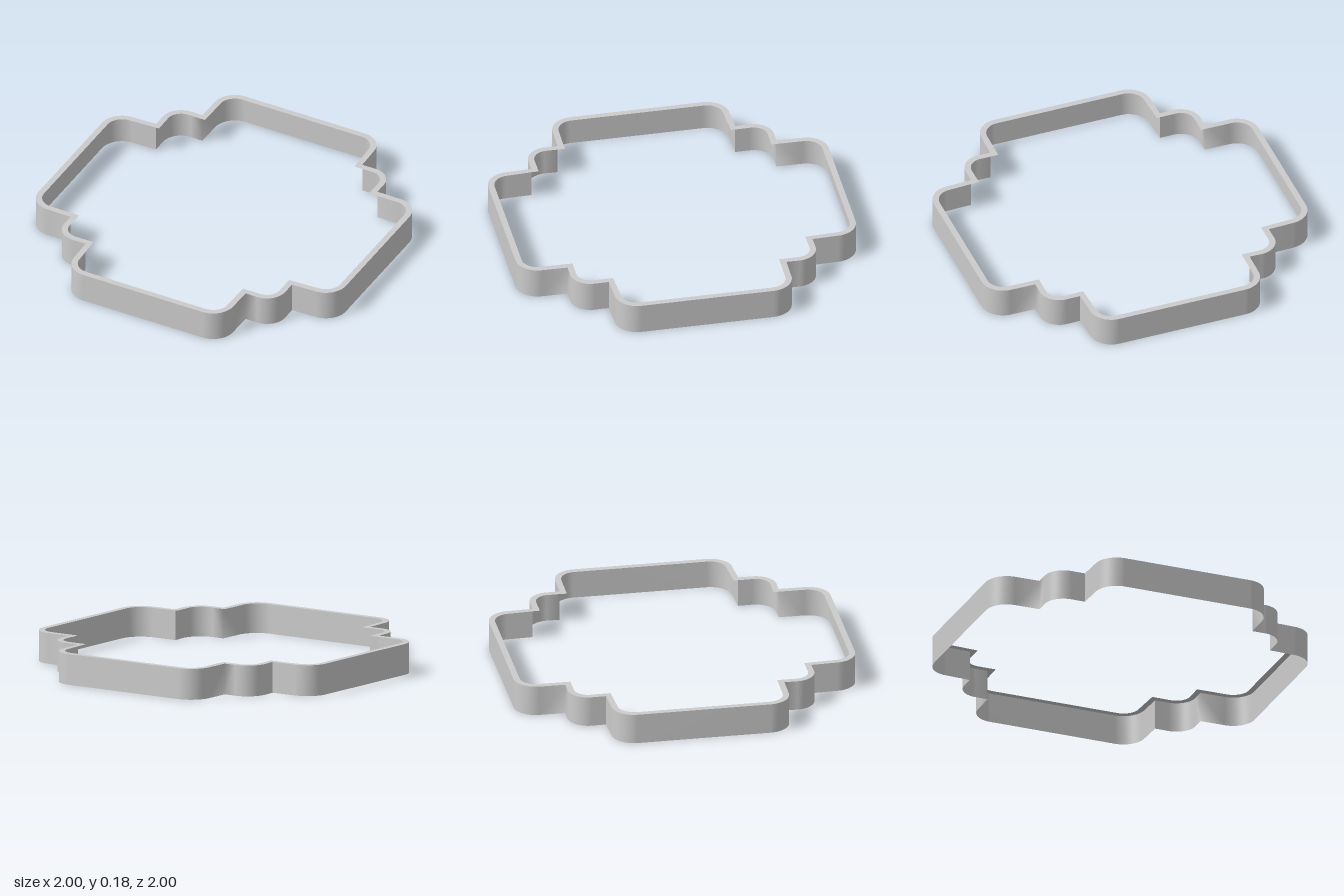
import * as THREE from 'three';

const HEIGHT = 0.18;
const RIM = 0.036;

// Points (x, z) of a convex corner, swept through a quarter turn
function corner(cx, cz, r, from, steps = 12) {
  return Array.from({ length: steps + 1 }, (_, i) => {
    const a = from - (i / steps) * Math.PI / 2;
    return new THREE.Vector2(cx + r * Math.cos(a), cz + r * Math.sin(a));
  });
}

// A quarter of the outline: one big lobe, a notch, one small corner lobe
function quarter(inset) {
  return [
    new THREE.Vector2(-0.518 + inset * 0.9, 0.72 - inset),
    ...corner(-0.383, 0.87, 0.13 - inset, Math.PI),
    ...corner(0.394, 0.87, 0.13 - inset, Math.PI / 2),
    new THREE.Vector2(0.526 - inset, 0.72 - inset),
    ...corner(0.602, 0.602, 0.119 - inset, Math.PI / 2),
  ];
}

// Closed outline on the shape plane, whose y is -z
function outline(inset) {
  const points = [];
  for (let k = 0; k < 4; k++) {
    for (const p of quarter(inset)) {
      const q = p.clone().rotateAround(new THREE.Vector2(), -k * Math.PI / 2);
      points.push(new THREE.Vector2(q.x, -q.y));
    }
  }
  // Close onto the first notch
  points.push(points[0].clone());
  return points;
}

export function createModel() {
  const group = new THREE.Group();
  group.name = 'lobedFrame';
  const material = new THREE.MeshStandardMaterial({ color: 0xcccccc, side: THREE.DoubleSide });

  // Flat rim along the top edge
  const shape = new THREE.Shape(outline(0));
  shape.holes.push(new THREE.Path(outline(RIM)));
  const rimGeometry = new THREE.ShapeGeometry(shape);
  rimGeometry.rotateX(-Math.PI / 2).translate(0, HEIGHT, 0);
  const rim = new THREE.Mesh(rimGeometry, material);
  rim.name = 'topRim';
  group.add(rim);

  // Single-skin outer wall: a plane bent along the quarter, ending at the next notch
  const path = quarter(0);
  path.push(new THREE.Vector2(path[0].y, -path[0].x));
  const wallGeometry = new THREE.PlaneGeometry(1, 1, path.length - 1, 1);
  const position = wallGeometry.attributes.position;
  for (let i = 0; i < position.count; i++) {
    const p = path[i % path.length];
    position.setXYZ(i, p.x, i < path.length ? HEIGHT : 0, p.y);
  }
  wallGeometry.computeVertexNormals();

  // Four equal wall sections around the ring
  for (let k = 0; k < 4; k++) {
    const wall = new THREE.Mesh(wallGeometry, material);
    wall.name = `outerWall${k + 1}`;
    wall.rotation.y = k * Math.PI / 2;
    group.add(wall);
  }
  return group;
}
